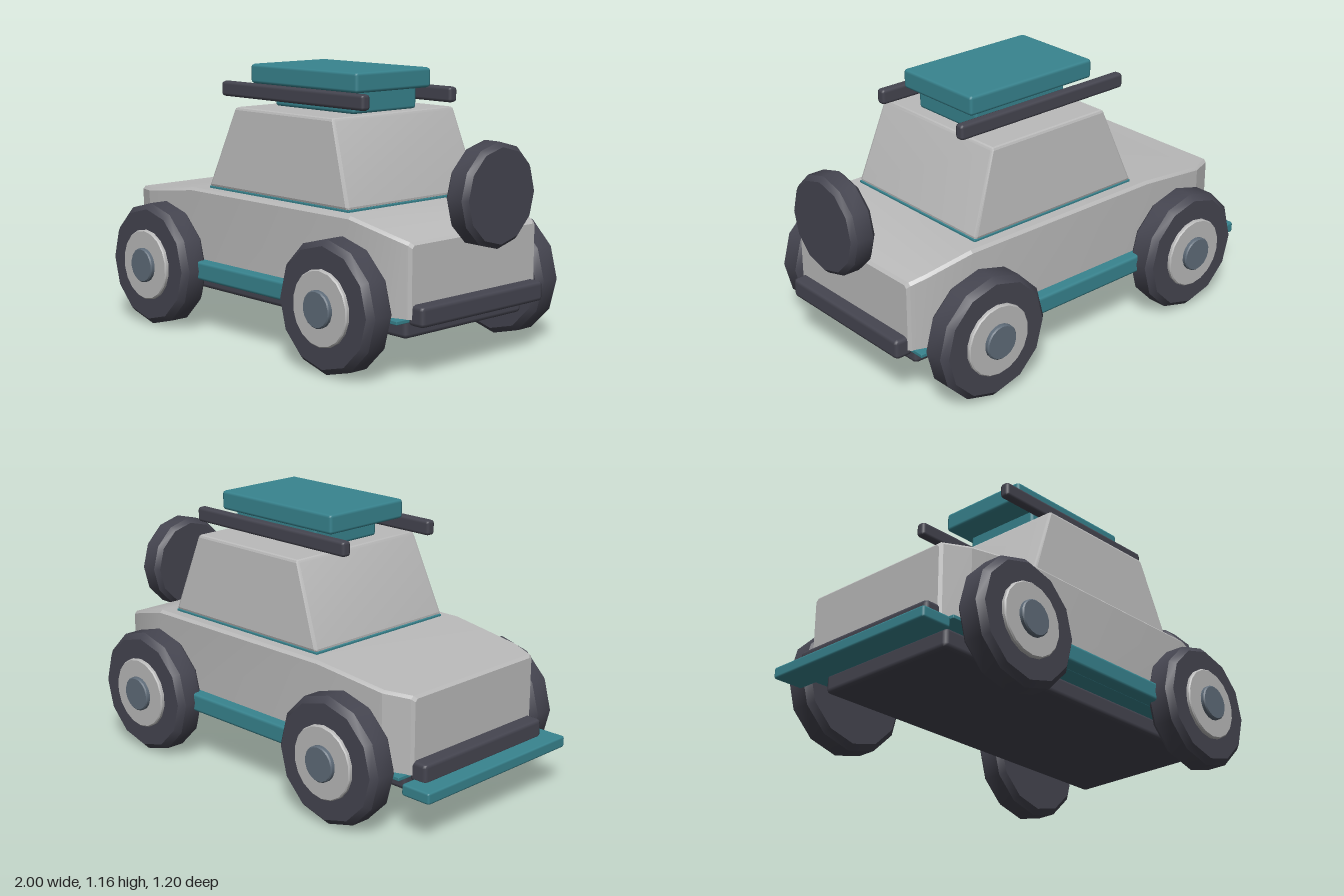
import * as THREE from 'three';
import { toCreasedNormals } from 'three/addons/utils/BufferGeometryUtils.js';
import { RoundedBoxGeometry } from 'three/addons/geometries/RoundedBoxGeometry.js';

const material = (name, color) => {
  const m = new THREE.MeshStandardMaterial({ color });
  m.name = name;
  return m;
};

// Loft along x; each station is [x, half width, top height]
function bodyGeometry(stations, bottom, edge) {
  const positions = [];
  const index = [];
  const n = 6;
  for (const [x, w, top] of stations) {
    const ring = [[top, edge - w], [top, w - edge], [top - edge, w], [bottom, w], [bottom, -w], [top - edge, -w]];
    for (const [y, z] of ring) positions.push(x, y, z);
  }
  const last = (stations.length - 1) * n;
  for (let i = 0; i < last; i += n) {
    for (let j = 0; j < n; j++) {
      const a = i + j, b = i + (j + 1) % n;
      index.push(a, b, a + n, b, b + n, a + n);
    }
  }
  for (let j = 1; j < n - 1; j++) {
    index.push(last, last + j, last + j + 1, 0, j + 1, j);
  }
  const g = new THREE.BufferGeometry();
  g.setAttribute('position', new THREE.Float32BufferAttribute(positions, 3));
  g.setIndex(index);
  return toCreasedNormals(g, 0.3);
}

// Disc with chamfered rims, axis along y, centred
function discGeometry(radius, width, bevel, sides) {
  const h = width / 2;
  const profile = [[0, -h], [radius - bevel, -h], [radius, bevel - h], [radius, h - bevel], [radius - bevel, h], [0, h]];
  const g = new THREE.LatheGeometry(profile.map(([r, y]) => new THREE.Vector2(r, y)), sides);
  return toCreasedNormals(g, 0.6);
}

export function createModel() {
  const paint = material('light grey paint', 0xbababa);
  const teal = material('teal trim', 0x38848f);
  const rubber = material('dark rubber', 0x454550);
  const slate = material('slate hub', 0x5f6c79);

  const model = new THREE.Group();
  model.name = 'offRoadCar';

  const add = (name, geometry, mat, parent = model) => {
    const mesh = new THREE.Mesh(geometry, mat);
    mesh.name = name;
    parent.add(mesh);
    return mesh;
  };

  // Box given by its limits on each axis
  const box = (name, mat, [x0, x1], [y0, y1], [z0, z1], bevel = 0.014) => {
    const g = new RoundedBoxGeometry(x1 - x0, y1 - y0, z1 - z0, 1, bevel);
    const mesh = add(name, g, mat);
    mesh.position.set((x0 + x1) / 2, (y0 + y1) / 2, (z0 + z1) / 2);
    return mesh;
  };

  // Main body, tapering to both ends
  add('body', bodyGeometry([
    [-0.862, 0.36, 0.565],
    [-0.85, 0.372, 0.577],
    [-0.74, 0.418, 0.585],
    [-0.4, 0.438, 0.628],
    [0.59, 0.435, 0.628],
    [0.79, 0.398, 0.575],
    [0.855, 0.372, 0.552],
    [0.867, 0.36, 0.54],
  ], 0.25, 0.012), paint);

  // Cabin: a box narrowed towards the roof
  const cabin = new RoundedBoxGeometry(0.88, 0.355, 0.77, 1, 0.012);
  const p = cabin.attributes.position;
  for (let i = 0; i < p.count; i++) {
    const t = p.getY(i) / 0.355 + 0.5;
    p.setX(i, p.getX(i) * (1 - 0.305 * t) + 0.01 * t);
    p.setZ(i, p.getZ(i) * (1 - 0.085 * t));
  }
  add('cabin', toCreasedNormals(cabin, 0.3), paint).position.set(0.095, 0.8125, 0);

  // Trim seams below the cabin and the body
  box('cabinSeam', teal, [-0.345, 0.535], [0.618, 0.637], [-0.383, 0.383], 0.003);
  box('bodySeam', teal, [-0.84, 0.85], [0.236, 0.252], [-0.425, 0.425], 0.003);

  // Chassis and bumpers
  box('chassis', rubber, [-0.8, 0.82], [0.158, 0.245], [-0.345, 0.345], 0.02);
  box('frontBumper', rubber, [-0.925, -0.84], [0.222, 0.31], [-0.365, 0.365], 0.018);
  box('rearBumper', rubber, [0.84, 0.923], [0.222, 0.308], [-0.358, 0.358], 0.018);
  box('frontSkidPlate', teal, [-1, -0.858], [0.185, 0.235], [-0.43, 0.43], 0.01);

  // Roof luggage
  box('luggageBase', teal, [-0.135, 0.355], [0.988, 1.1], [-0.185, 0.185]);
  box('luggageBox', teal, [-0.26, 0.408], [1.08, 1.165], [-0.218, 0.218]);

  // Sills, roof rails and wheels on both sides
  for (const side of [1, -1]) {
    const label = side > 0 ? 'near' : 'far';
    const span = (a, b) => (side > 0 ? [a, b] : [-b, -a]);
    box(label + 'Sill', teal, [-0.4, 0.4], [0.238, 0.32], span(0.4, 0.487));
    box(label + 'RoofRail', rubber, [-0.39, 0.505], [1.02, 1.086], span(0.232, 0.277));

    for (const [end, x] of [['front', -0.567], ['rear', 0.576]]) {
      const wheel = new THREE.Group();
      wheel.name = `${label}${end}Wheel`;
      wheel.position.set(x, 0.278, side * 0.495);
      wheel.rotation.x = side * Math.PI / 2;
      model.add(wheel);
      add('tyre', discGeometry(0.272, 0.135, 0.025, 12), rubber, wheel);
      add('rim', discGeometry(0.156, 0.03, 0.005, 18), paint, wheel).position.y = 0.069;
      add('hub', discGeometry(0.076, 0.04, 0.005, 18), slate, wheel).position.y = 0.083;
    }
  }

  // Spare wheel behind the cabin
  const spare = add('spareWheel', discGeometry(0.212, 0.115, 0.02, 12), rubber);
  spare.position.set(0.9425, 0.709, 0);
  spare.rotation.z = -Math.PI / 2;

  return model;
}
